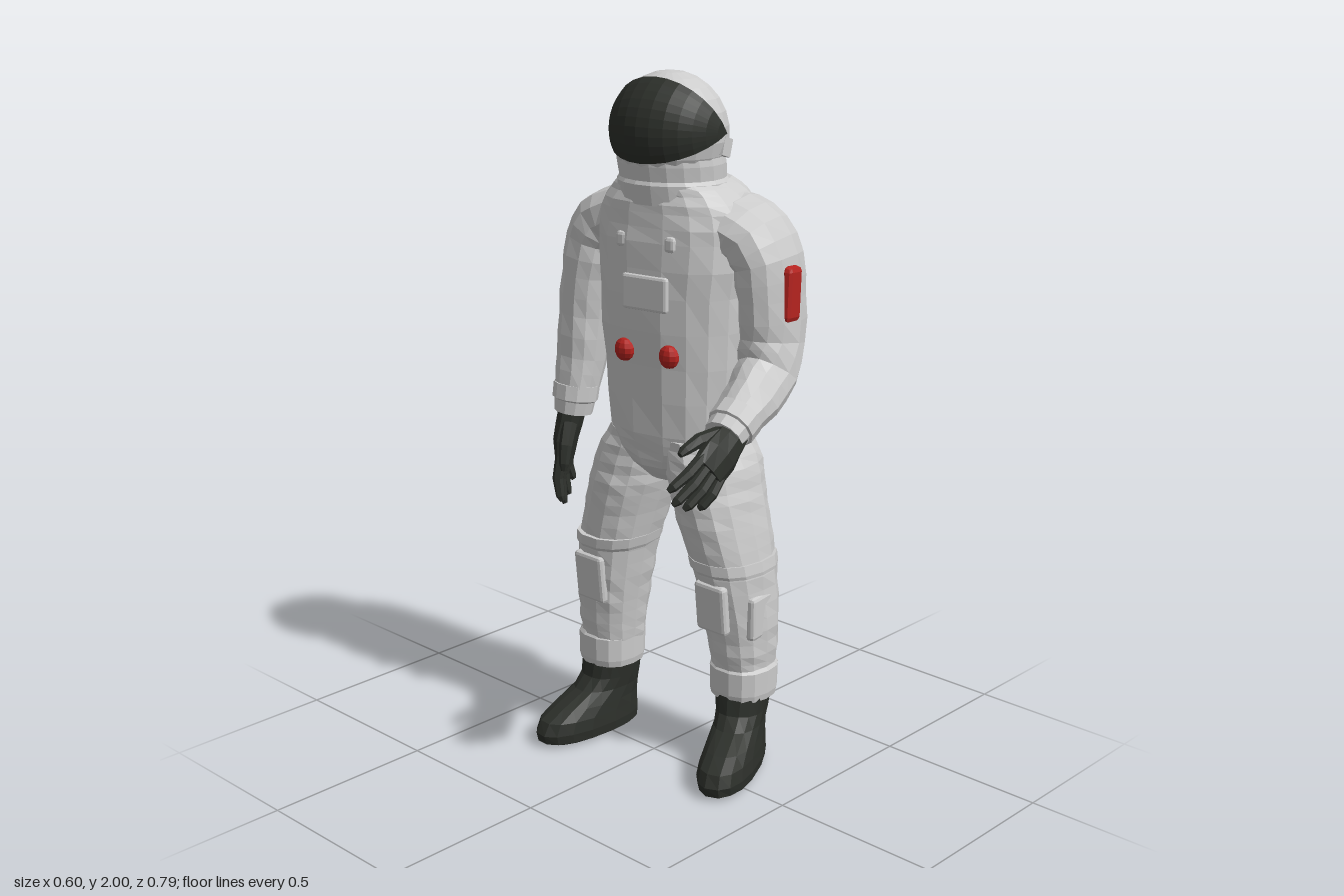
import * as THREE from 'three';
import { RoundedBoxGeometry } from 'three/addons/geometries/RoundedBoxGeometry.js';

const V = (x, y, z) => new THREE.Vector3(x, y, z);
const YAW = 0.15; // the upper body turns slightly; the figure faces -x
const SIDE = V(Math.sin(YAW), 0, Math.cos(YAW));
const BACK = V(Math.cos(YAW), 0, -Math.sin(YAW));
const Z = V(0, 0, 1);

export function createModel() {
  const model = new THREE.Group();
  model.name = 'astronaut';
  const paint = (color) => new THREE.MeshStandardMaterial({ color, flatShading: true, side: THREE.DoubleSide });
  const suit = paint(0xcccccc), dark = paint(0x2c2f2a), red = paint(0xb5231f);

  let seed = 7;
  const rnd = () => (seed = (seed * 16807) % 2147483647) / 2147483647;

  function add(name, geo, mat, parent = model) {
    const mesh = new THREE.Mesh(geo, mat);
    mesh.name = name;
    parent.add(mesh);
    return mesh;
  }

  // Closed skin through sections [x, y, z, depth radius, side radius]; level keeps them horizontal
  function loft(rows, { n = 12, side = SIDE, sub = 1, fold = 0, jitter = 0, pow = 0.85, level = false } = {}) {
    const rings = [];
    rows.forEach((r, i) => {
      if (i === rows.length - 1) return rings.push(r);
      for (let k = 0; k < sub; k++) rings.push(r.map((q, c) => q + (rows[i + 1][c] - q) * k / sub));
    });
    const pos = [], idx = [], last = rings.length - 1;
    const at = (i) => V(...rings[Math.min(last, Math.max(0, i))].slice(0, 3));
    rings.forEach((r, i) => {
      const t = level ? V(0, 1, 0) : at(i + 1).sub(at(i - 1)).normalize();
      const v = side.clone().addScaledVector(t, -side.dot(t)).normalize();
      const u = v.clone().cross(t);
      const puff = 1 + (i % 2 ? fold : -fold);
      for (let j = 0; j < n; j++) {
        const a = (j + 0.5) / n * Math.PI * 2, k = puff * (1 + (rnd() - 0.5) * jitter);
        const c = Math.cos(a), s = Math.sin(a);
        const p = at(i).addScaledVector(u, r[3] * k * Math.sign(c) * Math.abs(c) ** pow)
          .addScaledVector(v, r[4] * k * Math.sign(s) * Math.abs(s) ** pow);
        pos.push(p.x, p.y, p.z);
      }
    });
    for (let i = 0; i < last; i++) for (let j = 0; j < n; j++) {
      const a = i * n + j, b = i * n + (j + 1) % n;
      idx.push(a, b, a + n, b, b + n, a + n);
    }
    const c0 = pos.length / 3;
    pos.push(...rings[0].slice(0, 3), ...rings[last].slice(0, 3));
    for (let j = 0; j < n; j++) {
      const k = (j + 1) % n;
      idx.push(c0, k, j, c0 + 1, last * n + j, last * n + k);
    }
    const g = new THREE.BufferGeometry();
    g.setAttribute('position', new THREE.Float32BufferAttribute(pos, 3));
    g.setIndex(idx);
    g.computeVertexNormals();
    return g;
  }

  function box(name, size, p, mat = suit, yaw = YAW, tilt = 0) {
    const m = add(name, new RoundedBoxGeometry(...size, 1, Math.min(...size) * 0.35), mat);
    m.position.set(...p);
    m.rotation.set(0, yaw, tilt);
  }

  // Torso with sloping shoulders, and collar
  add('torso', loft([
    [0.113, 0.85, 0, 0.10, 0.07], [0.113, 0.9, 0, 0.148, 0.13], [0.117, 0.945, 0, 0.162, 0.188], [0.117, 1.0, 0, 0.172, 0.2],
    [0.107, 1.2, 0, 0.17, 0.214], [0.105, 1.4, 0, 0.182, 0.227], [0.108, 1.55, 0, 0.178, 0.24],
    [0.105, 1.63, 0, 0.168, 0.228], [0.1, 1.678, 0, 0.155, 0.19], [0.085, 1.71, 0, 0.14, 0.15],
  ], { n: 18, sub: 2, fold: 0.006, jitter: 0.03, pow: 0.8, level: true }), suit);
  add('collar', loft([
    [0.085, 1.65, 0, 0.15, 0.165], [0.077, 1.705, 0, 0.15, 0.16], [0.074, 1.715, 0, 0.142, 0.152],
    [0.068, 1.755, 0, 0.143, 0.155], [0.064, 1.79, 0, 0.142, 0.15],
  ], { n: 20, pow: 1, level: true }), suit);

  // Helmet and the wedge-shaped visor with its pivots
  const helmet = new THREE.Group();
  helmet.name = 'helmet';
  helmet.position.set(0.062, 1.835, 0);
  helmet.rotation.y = YAW;
  model.add(helmet);
  add('helmetShell', new THREE.SphereGeometry(0.165, 18, 13), suit, helmet).scale.x = 0.95;
  const visor = new THREE.SphereGeometry(0.17, 10, 14, THREE.MathUtils.degToRad(-60), THREE.MathUtils.degToRad(87));
  const shade = add('visor', visor.rotateX(Math.PI / 2), dark, helmet);
  shade.position.set(0.017, 0.006, 0);
  shade.scale.set(1.06, 1, 1.03);
  for (const s of [1, -1]) {
    const pivot = add('visorPivot', new THREE.BoxGeometry(0.04, 0.05, 0.02), suit, helmet);
    pivot.position.set(0.04, -0.035, s * 0.152);
    pivot.rotation.z = -0.3;
  }

  // Crossed back straps, laid on the torso surface
  for (const s of [1, -1]) {
    const pts = [];
    for (let k = 0; k <= 8; k++) {
      const w = s * (0.12 - 0.3 * k / 8);
      const d = 0.18 * (1 - Math.abs(w / 0.235) ** 2.5) ** 0.4 - (k === 0 ? 0.012 : 0);
      pts.push(V(0.105, 1.63 - 0.33 * k / 8, 0).addScaledVector(BACK, d - 0.003).addScaledVector(SIDE, w));
    }
    add('backStrap', new THREE.TubeGeometry(new THREE.CatmullRomCurve3(pts), 16, 0.005, 5), suit);
  }
  box('backFlap', [0.022, 0.085, 0.13], [0.273, 0.975, -0.03], suit, YAW, -0.15);

  // Chest fittings
  box('chestPanel', [0.025, 0.1, 0.15], [-0.064, 1.41, 0.03]);
  for (const w of [-0.08, 0.08]) {
    const p = V(0.108, 1.55, 0).addScaledVector(BACK, -0.163).addScaledVector(SIDE, w);
    box('chestBuckle', [0.03, 0.045, 0.035], p.toArray());
  }
  for (const w of [-0.07, 0.08]) {
    const p = V(0.107, 1.24, 0).addScaledVector(BACK, -0.172).addScaledVector(SIDE, w);
    const knob = add('chestKnob', new THREE.SphereGeometry(0.033, 10, 7), red);
    knob.position.copy(p);
    knob.scale.x = 0.7;
  }

  // Arms: the left one reaches forward, the right one hangs
  const arms = {
    left: [[0.13, 1.595, 0.1, 0.12, 0.08], [0.142, 1.59, 0.18, 0.122, 0.083], [0.152, 1.56, 0.24, 0.12, 0.084],
      [0.162, 1.5, 0.275, 0.117, 0.08], [0.167, 1.4, 0.287, 0.112, 0.072], [0.167, 1.28, 0.29, 0.1, 0.074],
      [0.135, 1.2, 0.3, 0.088, 0.074], [0.06, 1.14, 0.312, 0.078, 0.072], [-0.005, 1.1, 0.315, 0.066, 0.068]],
    right: [[0.09, 1.595, -0.1, 0.12, 0.08], [0.08, 1.59, -0.18, 0.117, 0.083], [0.073, 1.56, -0.245, 0.112, 0.084],
      [0.064, 1.5, -0.28, 0.108, 0.08], [0.055, 1.4, -0.297, 0.1, 0.072], [0.05, 1.28, -0.315, 0.09, 0.072],
      [0.035, 1.15, -0.325, 0.076, 0.068], [0.015, 1.06, -0.33, 0.066, 0.063]],
  };
  const cuffs = {
    left: [[0.005, 1.105, 0.315, 0.07, 0.073], [-0.035, 1.08, 0.318, 0.069, 0.072], [-0.037, 1.078, 0.318, 0.061, 0.066], [-0.065, 1.06, 0.32, 0.058, 0.062]],
    right: [[0.016, 1.07, -0.33, 0.071, 0.067], [0.01, 1.025, -0.332, 0.07, 0.066], [0.009, 1.022, -0.332, 0.062, 0.06], [0.005, 0.985, -0.335, 0.058, 0.056]],
  };
  for (const [k, s] of [['left', 1], ['right', -1]]) {
    const side = V(0, 0.6, 0.8 * s);
    add(k + 'Arm', loft(arms[k], { side, sub: 2, fold: 0.012, jitter: 0.05 }), suit);
    add(k + 'Cuff', loft(cuffs[k], { side, pow: 1 }), suit);
  }
  box('leftArmPatch', [0.065, 0.155, 0.045], [0.165, 1.42, 0.347], red, 0.05, -0.04);
  box('rightArmPatch', [0.06, 0.135, 0.045], [0.045, 1.42, -0.35], red, 0.1, -0.04);

  // Gloves: palm, four fingers and a thumb
  function glove(name, wrist, dir, up, out) {
    const g = new THREE.Group();
    g.name = name;
    model.add(g);
    const at = (a, b, c, r, q) => [...wrist.clone().addScaledVector(dir, a).addScaledVector(up, b).addScaledVector(out, c).toArray(), r, q];
    add('palm', loft([at(-0.03, 0, 0, 0.047, 0.042), at(0.02, 0, 0.004, 0.05, 0.04), at(0.07, 0, 0.008, 0.058, 0.035),
      at(0.13, -0.003, 0.004, 0.055, 0.024)], { n: 10, side: out }), dark, g);
    for (let i = 0; i < 4; i++) {
      const b = -0.042 + i * 0.026, len = [0.085, 0.125, 0.145, 0.13][i];
      add('finger', loft([at(0.11, b, 0.005, 0.016, 0.018), at(0.12 + len * 0.5, b * 1.2, 0.004, 0.016, 0.017),
        at(0.12 + len * 0.9, b * 1.35, -0.012, 0.013, 0.013), at(0.12 + len, b * 1.35, -0.02, 0.007, 0.007)], { n: 7, side: out }), dark, g);
    }
    add('thumb', loft([at(0.02, 0.03, -0.005, 0.024, 0.024), at(0.08, 0.066, -0.012, 0.02, 0.02),
      at(0.13, 0.08, -0.018, 0.015, 0.015), at(0.15, 0.082, -0.02, 0.008, 0.008)], { n: 7, side: out }), dark, g);
  }
  glove('leftGlove', V(-0.06, 1.06, 0.335), V(-0.86, -0.5, 0.14).normalize(), V(-0.48, 0.83, -0.3).normalize(), V(0.03, 0.35, 0.94).normalize());
  glove('rightGlove', V(0.0, 0.97, -0.338), V(-0.14, -0.99, -0.06).normalize(), V(-0.85, 0.1, 0.5).normalize(), V(-0.5, 0.1, -0.85).normalize());

  // Legs with knee bands, pockets, ankle cuffs and boots
  const legs = {
    left: [[0.148, 0.28, 0.22, 0.088, 0.084], [0.145, 0.36, 0.22, 0.1, 0.092], [0.14, 0.47, 0.213, 0.112, 0.1],
      [0.128, 0.6, 0.2, 0.126, 0.104], [0.115, 0.72, 0.175, 0.14, 0.11], [0.11, 0.82, 0.15, 0.15, 0.113],
      [0.112, 0.91, 0.13, 0.152, 0.112], [0.112, 0.99, 0.1, 0.145, 0.095]],
    right: [[0.058, 0.28, -0.223, 0.088, 0.084], [0.056, 0.36, -0.223, 0.1, 0.092], [0.055, 0.47, -0.215, 0.112, 0.1],
      [0.06, 0.6, -0.2, 0.124, 0.106], [0.072, 0.72, -0.175, 0.138, 0.11], [0.085, 0.82, -0.15, 0.148, 0.113],
      [0.1, 0.91, -0.13, 0.152, 0.112], [0.108, 0.99, -0.1, 0.145, 0.095]],
  };
  // Ankle x, ankle z, boot turn, boot length
  const feet = { left: [0.147, 0.222, 0.42, 1.05], right: [0.057, -0.23, -0.08, 1] };
  for (const [k, s] of [['left', 1], ['right', -1]]) {
    const [fx, fz, turn, long] = feet[k], knee = legs[k][3];
    add(k + 'Leg', loft(legs[k], { n: 14, side: Z, sub: 3, fold: 0.008, jitter: 0.035, level: true }), suit);
    add(k + 'KneeBand', loft([[knee[0], 0.605, knee[2], 0.127, 0.107], [knee[0] - 0.002, 0.615, knee[2] - s * 0.002, 0.132, 0.11],
      [knee[0] - 0.003, 0.645, knee[2] - s * 0.008, 0.134, 0.111]], { n: 14, side: Z, level: true }), suit);
    box(k + 'KneePad', [0.03, 0.15, 0.11], [knee[0] - 0.108, 0.51, knee[2] + s * 0.01], suit, 0, 0.1);
    box(k + 'ShinPocket', [0.1, 0.13, 0.03], [knee[0] - 0.005, 0.48, knee[2] + s * 0.096], suit);
    add(k + 'AnkleCuff', loft([[fx, 0.215, fz, 0.092, 0.088], [fx, 0.235, fz, 0.097, 0.092], [fx, 0.305, fz, 0.098, 0.093],
      [fx, 0.315, fz, 0.09, 0.086]], { n: 14, side: Z, level: true }), suit);

    // Boot rows: height, toe, heel, half width
    const rows = [[0, -0.25, 0.07, 0.06], [0.012, -0.28, 0.084, 0.077], [0.04, -0.288, 0.086, 0.08], [0.075, -0.27, 0.083, 0.077],
      [0.105, -0.215, 0.08, 0.073], [0.14, -0.135, 0.08, 0.069], [0.175, -0.1, 0.084, 0.073], [0.235, -0.088, 0.09, 0.08]];
    const boot = add(k + 'Boot', loft(rows.map(([y, t, h, w]) => [(t * long + h) / 2, y, 0, (h - t * long) / 2, w]),
      { n: 16, side: Z, jitter: 0.02, level: true }), dark);
    boot.position.set(fx, 0, fz);
    boot.rotation.y = turn;
  }
  return model;
}
